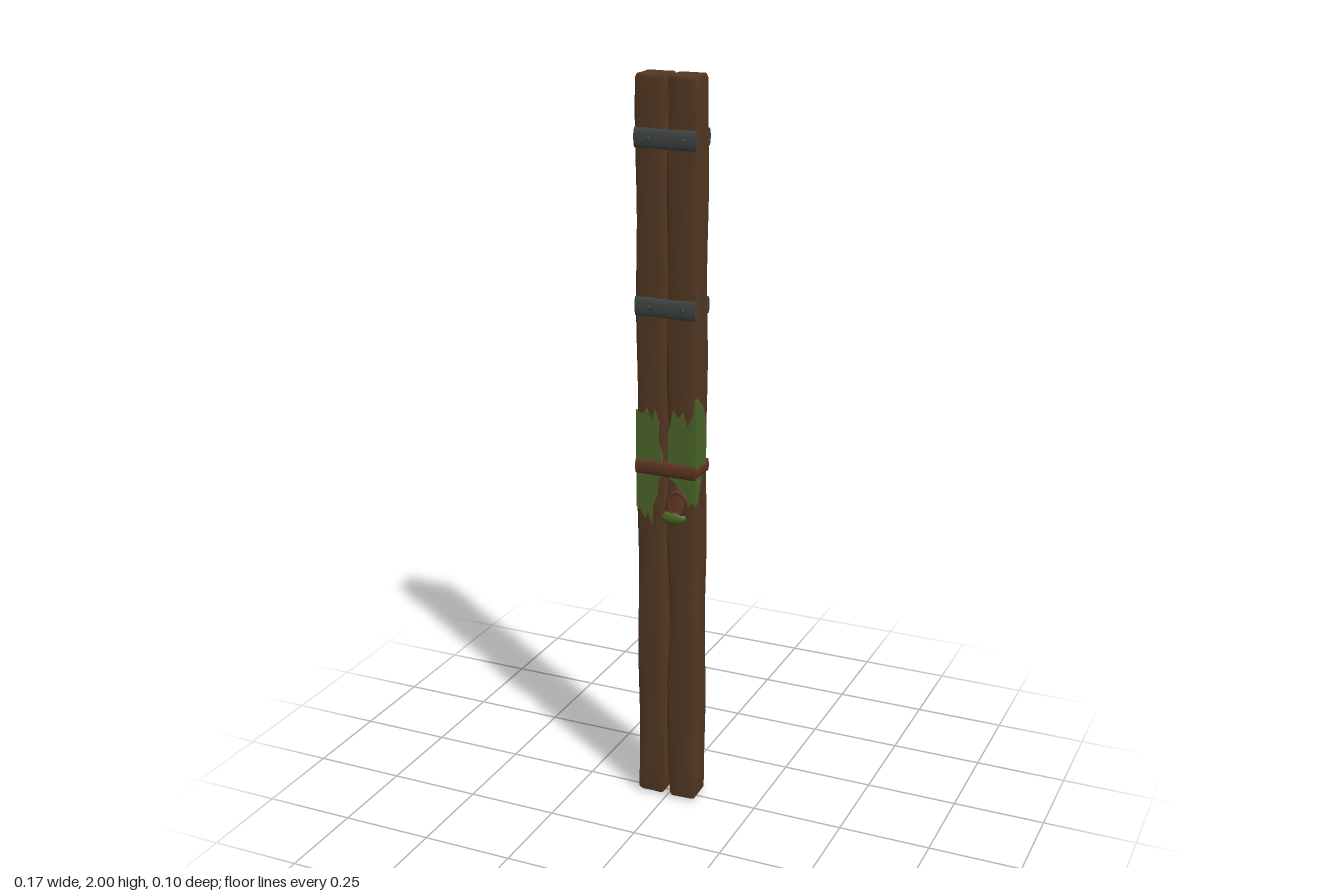
import * as THREE from 'three';

const mat = (name, color) => {
  const m = new THREE.MeshStandardMaterial({ color });
  m.name = name;
  return m;
};

export function createModel() {
  const group = new THREE.Group();
  const wood = mat('dark wood', 0x543822);
  const iron = mat('dark iron', 0x3f4544);
  const leather = mat('red brown leather', 0x5f3522);
  const moss = mat('moss green', 0x4b6629);

  const add = (name, geometry, material) => {
    const mesh = new THREE.Mesh(geometry, material);
    mesh.name = name;
    group.add(mesh);
    return mesh;
  };

  // Hewn beam: bevelled rectangular rings, gently worn along the length
  function beamGeometry(side) {
    const hx = 0.0415, hz = 0.0435, b = 0.007, rows = 40;
    const section = [
      [hx, -hz + b], [hx, 0], [hx, hz - b], [hx - b, hz], [0, hz], [-hx + b, hz],
      [-hx, hz - b], [-hx, 0], [-hx, -hz + b], [-hx + b, -hz], [0, -hz], [hx - b, -hz],
    ];
    const n = section.length, pos = [], idx = [];
    const ring = (y, s) => {
      // the inner face hollows out where the beams gape apart
      const gap = 0.005 * Math.exp(-(((y - 0.58) / 0.12) ** 2))
        + 0.004 * Math.exp(-(((y - 1.05) / 0.07) ** 2))
        + 0.004 * Math.exp(-(((y - 1.9) / 0.05) ** 2))
        + 0.005 * Math.exp(-((y / 0.05) ** 2));
      section.forEach(([x, z], i) => {
        const wear = 0.0013 * (1 + Math.sin(y * 13 + i * 2.1 + side));
        let px = x * s - Math.sign(x) * wear, pz = z * s - Math.sign(z) * wear;
        if (x * side < -0.02) px += side * gap;
        pos.push(px + side * 0.0435, y, pz - 0.0035);
      });
    };
    const ys = [[0.006, 0.9]];
    for (let i = 0; i <= rows; i++) ys.push([0.012 + 1.974 * i / rows, 1]);
    ys.push([1.996, 0.92]);
    ys.forEach(([y, s]) => ring(y, s));
    for (let r = 0; r < ys.length - 1; r++) {
      for (let i = 0; i < n; i++) {
        const a = r * n + i, c = r * n + (i + 1) % n;
        idx.push(a, a + n, c, c, a + n, c + n);
      }
    }
    // end caps on their own vertices, so the rims stay crisp
    for (const [row, y, up] of [[0, 0, false], [ys.length - 1, 2, true]]) {
      const start = pos.length / 3;
      for (let i = 0; i < n * 3; i++) pos.push(pos[row * n * 3 + i]);
      const centre = pos.length / 3;
      pos.push(side * 0.0435, y, -0.0035);
      for (let i = 0; i < n; i++) {
        const a = start + i, c = start + (i + 1) % n;
        if (up) idx.push(a, centre, c);
        else idx.push(a, c, centre);
      }
    }
    const g = new THREE.BufferGeometry();
    g.setAttribute('position', new THREE.Float32BufferAttribute(pos, 3));
    g.setIndex(idx);
    g.computeVertexNormals();
    return g;
  }
  add('rightBeam', beamGeometry(-1), wood);
  add('leftBeam', beamGeometry(1), wood);

  // Straps: flattened rounded bars laid across a face
  function strap(name, material, x0, x1, y, z, height) {
    const g = new THREE.CylinderGeometry(1, 1, x1 - x0, 16);
    g.rotateZ(Math.PI / 2);
    g.scale(1, height / 2, 0.008);
    add(name, g, material).position.set((x0 + x1) / 2, y, z);
  }
  for (const [name, y] of [['upperBand', 1.84], ['middleBand', 1.41]]) {
    strap(name + 'Front', iron, -0.084, 0.084, y, 0.037, 0.052);
    strap(name + 'Back', iron, -0.078, 0.084, y, -0.0435, 0.045);
    // band rivets
    for (const x of [-0.045, 0.05]) {
      add('rivet', new THREE.SphereGeometry(0.005, 8, 6), iron).position.set(x, y, 0.043);
    }
  }
  strap('lowerBandFront', leather, -0.085, 0.085, 0.975, 0.038, 0.042);
  strap('lowerBandBack', leather, 0, 0.085, 0.975, -0.0435, 0.034);
  const sideBand = add('lowerBandSide',
    new THREE.CylinderGeometry(0.015, 0.015, 0.084, 10), leather);
  sideBand.rotation.x = Math.PI / 2;
  sideBand.scale.x = 0.3;
  sideBand.position.set(0.0835, 0.972, -0.003);

  // Moss: thin ragged plates on the faces
  function mossPlate(name, points, turn, x, z) {
    const shape = new THREE.Shape(points.map(p => new THREE.Vector2(...p)));
    const g = new THREE.ExtrudeGeometry(shape, { depth: 0.005, bevelEnabled: false });
    const mesh = add(name, g, moss);
    mesh.rotation.y = turn;
    mesh.position.set(x, 0, z);
  }
  mossPlate('mossFrontRight', [
    [-0.084, 1.13], [-0.084, 0.86], [-0.072, 0.85], [-0.06, 0.83], [-0.05, 0.845],
    [-0.038, 0.81], [-0.036, 0.87], [-0.022, 0.9], [-0.02, 0.94], [-0.008, 0.96],
    [-0.009, 1.02], [-0.02, 1.05], [-0.018, 1.1], [-0.03, 1.135], [-0.04, 1.1],
    [-0.052, 1.14], [-0.066, 1.12],
  ], 0, 0, 0.0358);
  mossPlate('mossFrontLeft', [
    [0.009, 1.08], [0.007, 1.0], [0.012, 0.95], [0.03, 0.94], [0.045, 0.91], [0.06, 0.87],
    [0.07, 0.885], [0.082, 0.89], [0.084, 1.16], [0.074, 1.12], [0.062, 1.1],
    [0.05, 1.14], [0.036, 1.12], [0.022, 1.14],
  ], 0, 0, 0.0358);
  mossPlate('mossLeftSide', [
    [-0.038, 1.18], [-0.038, 0.88], [-0.022, 0.89], [-0.006, 0.93], [0.006, 0.96],
    [0.03, 0.98], [0.034, 1.07], [0.026, 1.11], [0.01, 1.15], [-0.01, 1.16], [-0.022, 1.175],
  ], Math.PI / 2, 0.0806, 0);
  mossPlate('mossRightSide', [
    [0.037, 0.88], [0.037, 1.13], [0.026, 1.1], [0.016, 1.08], [0.018, 0.98], [0.024, 0.91],
  ], -Math.PI / 2, -0.0806, 0);

  // Hanging knot with a mossy lump below the lowest band
  const knot = add('knot', new THREE.CylinderGeometry(0.014, 0.036, 0.075, 7), leather);
  knot.scale.z = 0.3;
  knot.position.set(0.03, 0.9, 0.036);
  const loop = add('knotLoop', new THREE.TorusGeometry(0.026, 0.006, 6, 14), leather);
  loop.position.set(0.035, 0.885, 0.04);
  loop.scale.y = 1.2;
  const lump = add('mossLump', new THREE.SphereGeometry(1, 14, 10), moss);
  lump.scale.set(0.036, 0.019, 0.014);
  lump.position.set(0.023, 0.842, 0.038);
  lump.rotation.z = 0.08;

  return group;
}
